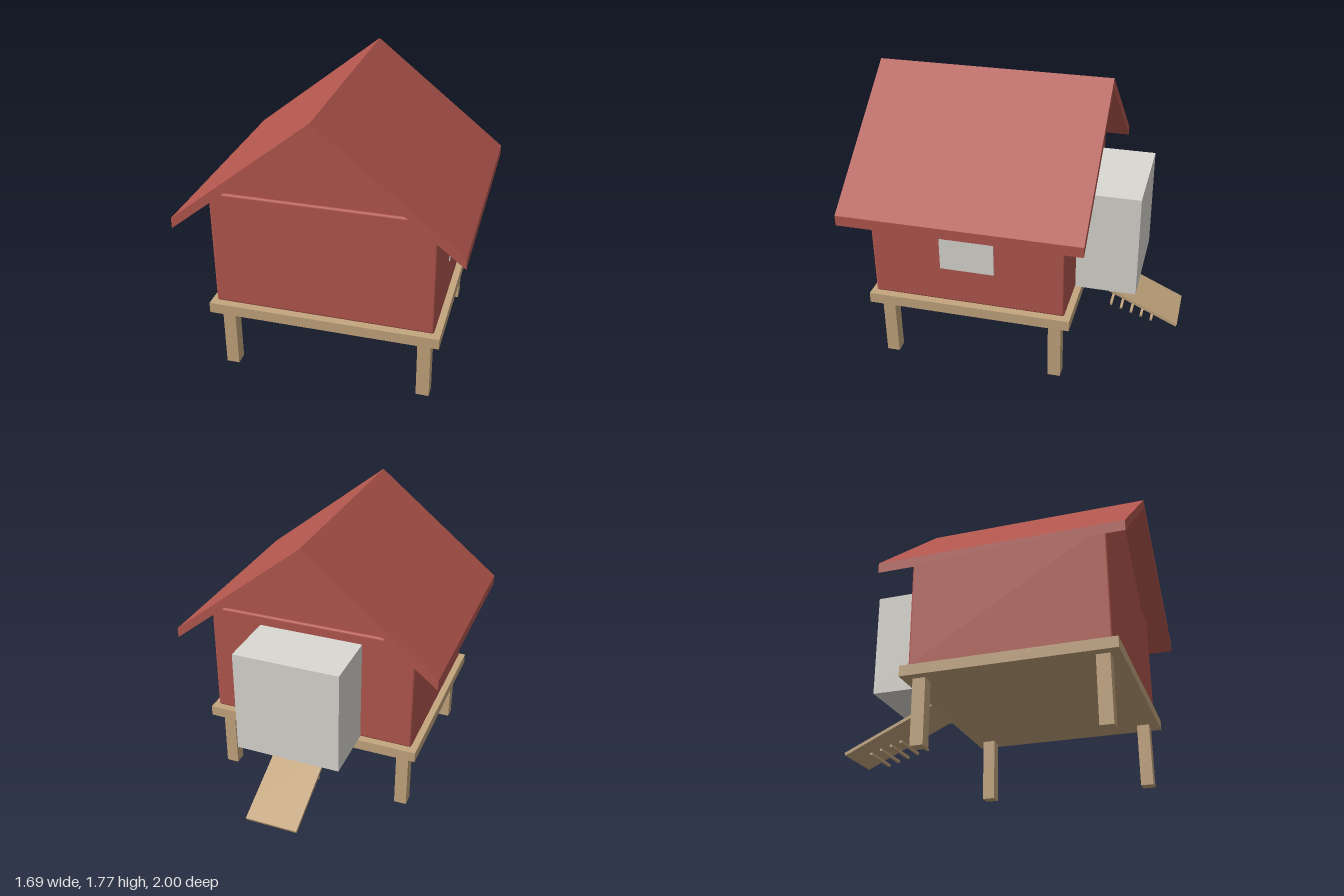
import * as THREE from 'three';
import { RoundedBoxGeometry } from 'three/addons/geometries/RoundedBoxGeometry.js';

const material = (name, color) => {
  const m = new THREE.MeshStandardMaterial({ color });
  m.name = name;
  return m;
};

export function createModel() {
  const red = material('barn red', 0xb3574e);
  const wood = material('wood', 0xc4a67e);
  const grey = material('pale grey', 0xdad8d2);
  const model = new THREE.Group();

  const add = (name, geometry, mat, x = 0, y = 0, z = 0) => {
    const mesh = new THREE.Mesh(geometry, mat);
    mesh.name = name;
    mesh.position.set(x, y, z);
    model.add(mesh);
    return mesh;
  };
  // Box given by its lower and upper limits on each axis
  const box = (name, mat, [x0, x1], [y0, y1], [z0, z1]) =>
    add(name, new THREE.BoxGeometry(x1 - x0, y1 - y0, z1 - z0), mat,
      (x0 + x1) / 2, (y0 + y1) / 2, (z0 + z1) / 2);
  // Outline in x and y, extruded from z0 to z1
  const prism = (name, mat, points, z0, z1) => {
    const shape = new THREE.Shape(points.map(([x, y]) => new THREE.Vector2(x, y)));
    const geometry = new THREE.ExtrudeGeometry(shape, { depth: z1 - z0, bevelEnabled: false });
    return add(name, geometry, mat, 0, 0, z0);
  };

  // Raised platform on four legs
  box('platform', wood, [-0.707, 0.707], [0.405, 0.472], [-0.382, 0.9]);
  for (const x of [-0.61, 0.61]) {
    for (const z of [-0.28, 0.8]) {
      box('leg', wood, [x - 0.04, x + 0.04], [0, 0.405], [z - 0.04, z + 0.04]);
    }
  }

  // House body with slightly softened edges
  add('houseBody', new RoundedBoxGeometry(1.34, 0.74, 1.21, 2, 0.015), red, 0, 0.846, 0.26);

  // Gable filling and overhanging roof
  prism('gable', red, [[-0.62, 1.207], [0.62, 1.207], [0, 1.705]], -0.33, 0.85);
  prism('roof', red, [
    [-0.845, 1.03], [0, 1.705], [0.845, 1.03],
    [0.845, 1.095], [0, 1.77], [-0.845, 1.095],
  ], -0.485, 1);

  // Window on the left wall
  box('window', grey, [0.669, 0.674], [0.71, 1.05], [0.09, 0.43]);

  // Nest box at the back
  box('nestBox', grey, [-0.335, 0.335], [0.48, 1.15], [-0.73, -0.31]);

  // Sloping ramp from the platform
  const top = new THREE.Vector2(-0.365, 0.45);
  const end = new THREE.Vector2(-0.991, 0.163);
  const ramp = add('ramp', new THREE.BoxGeometry(0.334, 0.02, top.distanceTo(end)), wood,
    0, (top.y + end.y) / 2, (top.x + end.x) / 2);
  ramp.rotation.x = -Math.atan2(top.y - end.y, top.x - end.x);

  // Small cross slats beneath the ramp
  for (let i = 0; i < 5; i++) {
    add('rampSlat', new THREE.BoxGeometry(0.27, 0.016, 0.016), wood,
      0, 0.239 - i * 0.0203, -0.552 - i * 0.0675);
  }

  return model;
}
